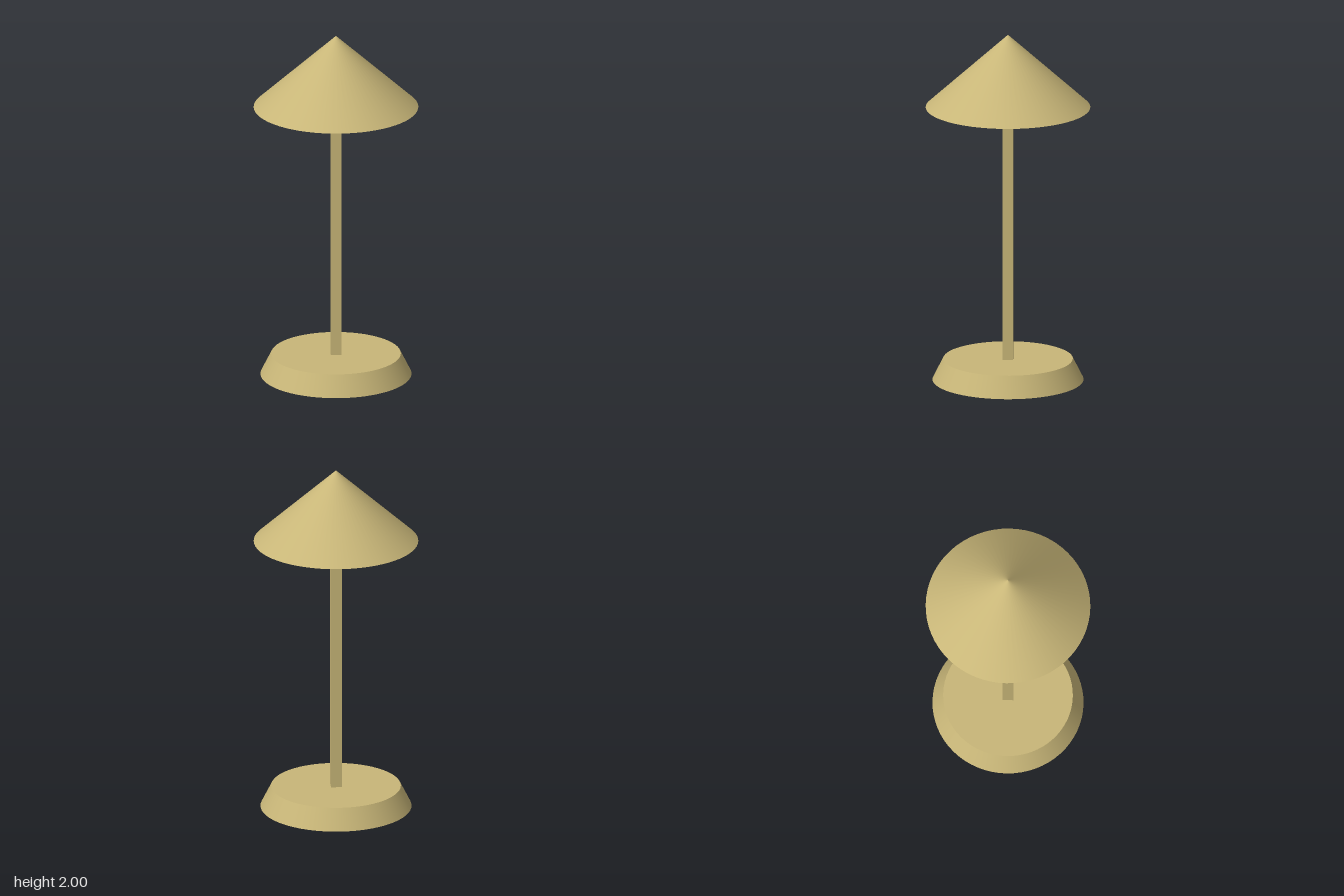
import * as THREE from 'three';

export function createModel() {
  const model = new THREE.Group();
  model.name = 'tableLamp';
  // The shade is an open shell, so both sides show
  const brass = new THREE.MeshStandardMaterial({ color: 0xc8b678, side: THREE.DoubleSide });
  brass.name = 'brass';

  const add = (name, geometry, y) => {
    const mesh = new THREE.Mesh(geometry, brass);
    mesh.name = name;
    mesh.position.y = y;
    model.add(mesh);
  };

  // Tapered round foot
  add('base', new THREE.CylinderGeometry(0.363, 0.423, 0.12, 64), 0.06);

  // Square pole, ending just inside the shade
  const poleBottom = 0.12, poleTop = 1.675;
  add('pole', new THREE.BoxGeometry(0.06, poleTop - poleBottom, 0.06), (poleBottom + poleTop) / 2);

  // Hollow conical shade
  add('shade', new THREE.ConeGeometry(0.461, 0.42, 64, 1, true), 1.79);

  return model;
}
